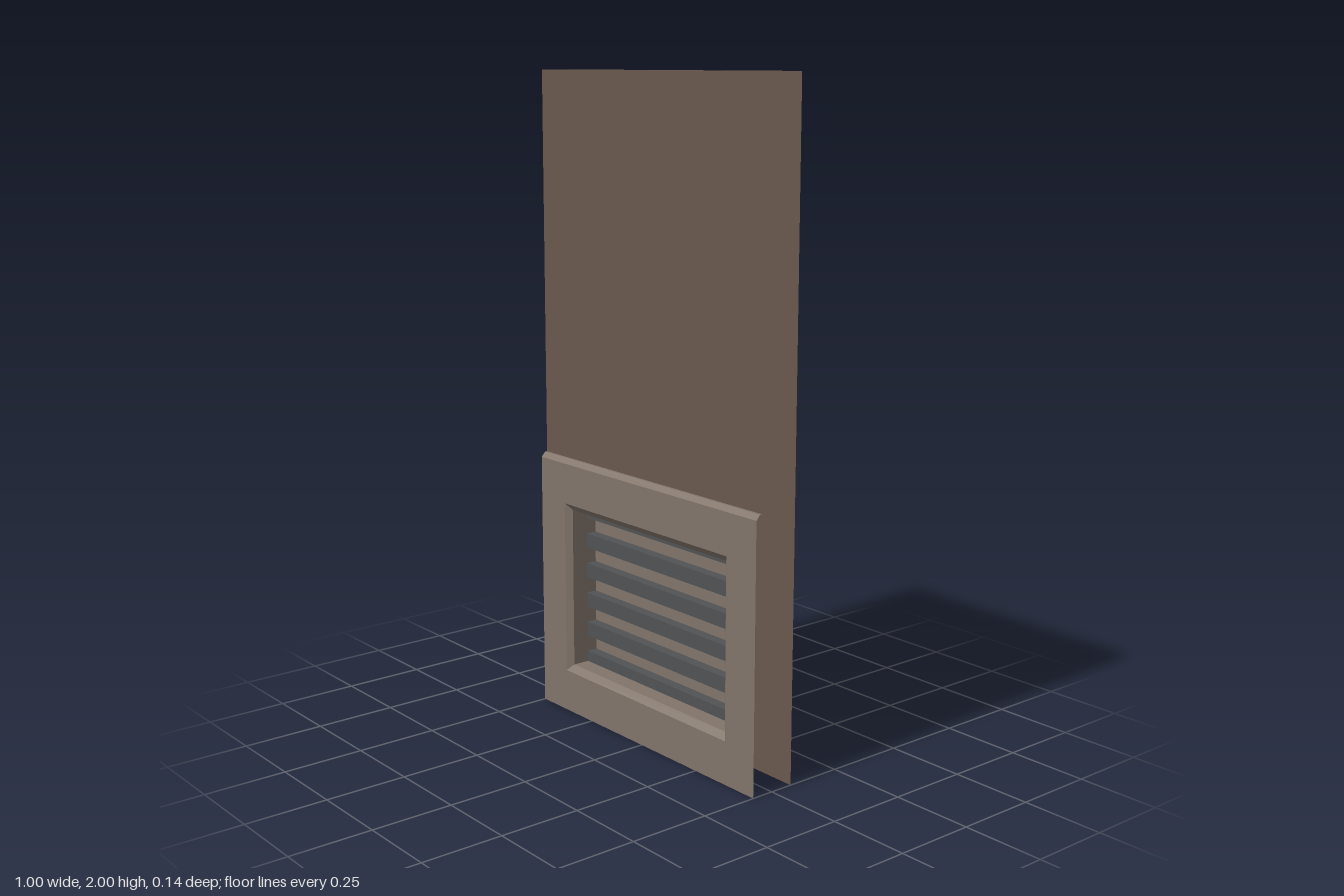
import * as THREE from 'three';

const material = (color) =>
  new THREE.MeshStandardMaterial({ color, flatShading: true, side: THREE.DoubleSide });

function sheet(quads) {
  const points = quads.flatMap(([a, b, c, d]) => [a, b, c, a, c, d]).flat();
  const geometry = new THREE.BufferGeometry();
  geometry.setAttribute('position', new THREE.Float32BufferAttribute(points, 3));
  geometry.computeVertexNormals();
  return geometry;
}

// Sweep a [y, z] profile across the full width, leaving the ends open
function sweep(profile, half) {
  return sheet(profile.slice(1).map(([y, z], i) => {
    const [py, pz] = profile[i];
    return [[-half, y, z], [half, y, z], [half, py, pz], [-half, py, pz]];
  }));
}

// Corners of an upright rectangle, counter-clockwise from the front
const corners = ({ x, y0, y1, z }) => [[-x, y0, z], [x, y0, z], [x, y1, z], [-x, y1, z]];

// Join successive rectangles into a recess and close its back
function recess(rings) {
  const quads = [];
  for (let r = 1; r < rings.length; r++) {
    const outer = corners(rings[r - 1]);
    const inner = corners(rings[r]);
    for (let i = 0; i < 4; i++) {
      const j = (i + 1) % 4;
      quads.push([outer[i], outer[j], inner[j], inner[i]]);
    }
  }
  quads.push(corners(rings[rings.length - 1]));
  return sheet(quads);
}

export function createModel() {
  const group = new THREE.Group();
  const wall = material(0x6a584e);
  const trim = material(0x82756a);
  const metal = material(0x505254);
  const half = 0.5, front = 0.071, back = -0.073;

  const add = (name, geometry, mat) => {
    const mesh = new THREE.Mesh(geometry, mat);
    mesh.name = name;
    group.add(mesh);
    return mesh;
  };

  // Upper front, top and full-height back, open at the ends and bottom
  add('wallShell', sweep([[0.82, 0.05], [2, 0.05], [2, back], [0, back]], half), wall);

  // Ledge and chamfer above the lower panel
  add('panelLedge', sweep([[0.805, front], [0.82, 0.058], [0.82, 0.05]], half), trim);

  // Lower front panel with the vent opening
  const rings = [
    { x: 0.38, y0: 0.132, y1: 0.678, z: front },
    { x: 0.36, y0: 0.152, y1: 0.658, z: 0.055 },
    { x: 0.36, y0: 0.152, y1: 0.658, z: -0.033 },
  ];
  const toPoints = (ring) => corners(ring).map(([x, y]) => new THREE.Vector2(x, y));
  const shape = new THREE.Shape(toPoints({ x: half, y0: 0, y1: 0.805, z: front }));
  shape.holes.push(new THREE.Path(toPoints(rings[0])));
  add('lowerPanel', new THREE.ShapeGeometry(shape).translate(0, 0, front), trim);
  add('ventRecess', recess(rings), trim);

  // Horizontal vent bars, set into the recess walls
  for (let i = 0; i < 6; i++) {
    const bar = add('ventBar', new THREE.BoxGeometry(0.724, 0.046, 0.044), metal);
    bar.position.set(0, 0.163 + i * 0.0968, -0.021);
  }
  return group;
}
